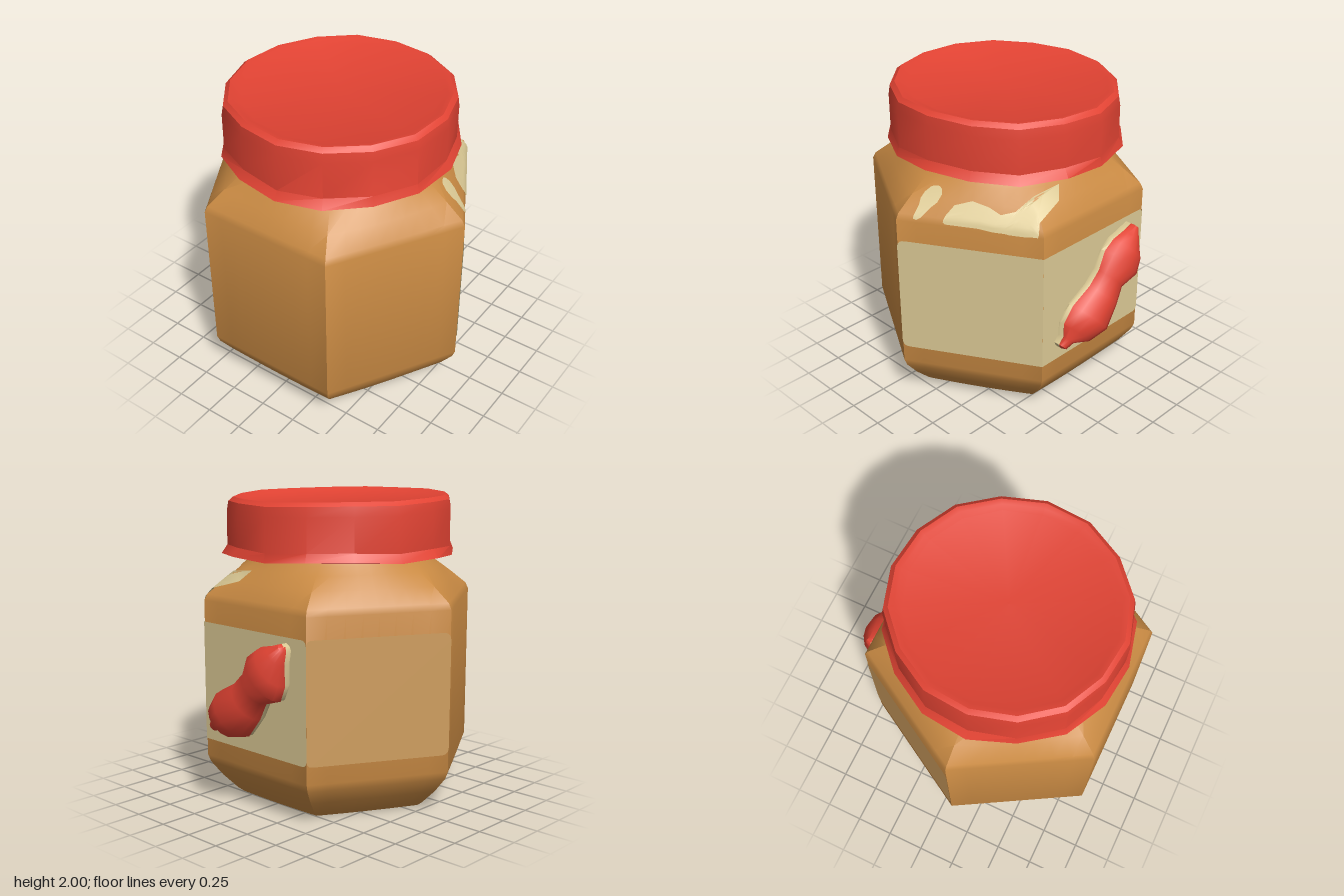
import * as THREE from 'three';
import { toCreasedNormals } from 'three/addons/utils/BufferGeometryUtils.js';

const CX = -0.1; // jar axis
const mat = (name, color, side = THREE.FrontSide) => {
  const m = new THREE.MeshStandardMaterial({ color, side });
  m.name = name;
  return m;
};

// Skin a grid of points (rows of equal length, anticlockwise around the axis)
function skin(rows, crease = 0.6) {
  const n = rows[0].length, index = [];
  for (let i = 0; i < rows.length - 1; i++)
    for (let j = 0; j < n - 1; j++) {
      const a = i * n + j, c = a + n;
      index.push(a, a + 1, c + 1, a, c + 1, c);
    }
  const g = new THREE.BufferGeometry();
  g.setAttribute('position', new THREE.Float32BufferAttribute(rows.flat(2), 3));
  g.setIndex(index);
  return toCreasedNormals(g, crease);
}

// Jar profile: height, flat-to-centre distance, roundness (0 hexagon, 1 circle)
const PROFILE = [
  [0, 0.6, 0.1], [0.03, 0.635, 0.1], [0.13, 0.72, 0.06], [0.23, 0.785, 0.02], [0.28, 0.8, 0],
  [1.32, 0.8, 0], [1.36, 0.785, 0.03], [1.45, 0.71, 0.3], [1.53, 0.645, 0.7],
  [1.58, 0.59, 1], [1.62, 0.56, 1], [1.7, 0.56, 1],
];

function jarRadius(theta, y) {
  let k = 0;
  while (k < PROFILE.length - 2 && PROFILE[k + 1][0] < y) k++;
  const [y0, a0, r0] = PROFILE[k], [y1, a1, r1] = PROFILE[k + 1];
  const t = (y - y0) / (y1 - y0);
  const apothem = a0 + (a1 - a0) * t, round = r0 + (r1 - r0) * t;
  const s = Math.PI / 3, local = ((theta % s) + s) % s - s / 2;
  return apothem * (round + (1 - round) / Math.cos(local));
}

function jarGeometry() {
  const N = 48, rows = [Array.from({ length: N + 1 }, () => [CX, 0, 0])];
  for (const [y] of PROFILE) {
    const row = [];
    for (let j = 0; j <= N; j++) {
      const t = (j / N) * Math.PI * 2, r = jarRadius(t, y);
      row.push([CX + r * Math.sin(t), y, r * Math.cos(t)]);
    }
    rows.push(row);
  }
  return skin(rows, 0.45);
}

// Depth of the jar surface in front of (x, y)
function jarFrontZ(x, y) {
  let lo = 0, hi = 1.2;
  for (let i = 0; i < 30; i++) {
    const z = (lo + hi) / 2;
    if (Math.hypot(x - CX, z) < jarRadius(Math.atan2(x - CX, z), y)) lo = z; else hi = z;
  }
  return lo;
}

// Thin painted patch on the shoulder from columns of [x, bottom, top]
function shoulderPatch(cols) {
  const rows = [];
  for (let i = 0; i <= 8; i++)
    rows.push(cols.map(([x, b, t]) => {
      const y = b + (t - b) * i / 8;
      return [x + 0.004, y + 0.005, jarFrontZ(x, y) + 0.008];
    }));
  return skin(rows);
}

// Label plate for one hexagon side; rounded left and/or right corners
function labelGeometry(left, right) {
  const w = 0.464, b = 0.395, t = 1.18, s = new THREE.Shape();
  const l = left || 0.001, r = right || 0.001;
  s.moveTo(-w + l, b);
  s.lineTo(w - r, b); s.quadraticCurveTo(w, b, w, b + r);
  s.lineTo(w, t - r); s.quadraticCurveTo(w, t, w - r, t);
  s.lineTo(-w + l, t); s.quadraticCurveTo(-w, t, -w, t - l);
  s.lineTo(-w, b + l); s.quadraticCurveTo(-w, b, -w + l, b);
  return new THREE.ShapeGeometry(s, 5).translate(0, 0, 0.804);
}

// Crimped lid with uneven flutes and a wavy flared skirt
function lidGeometry() {
  const N = 16, rows = [];
  const wob = (j, k) => Math.sin((j % N) * 2.4 + k) * 0.6 + Math.sin((j % N) * 5.1 + k * 2) * 0.4;
  const prof = [ // height, radius, radial wobble, height wobble
    [1.63, 0.54, 0, 0], [1.61, 0.72, 0.01, 0.01], [1.615, 0.765, 0.018, 0.015], [1.67, 0.735, 0.012, 0.012],
    [1.9, 0.735, 0.01, 0.005], [1.96, 0.725, 0.008, 0.006], [1.985, 0.695, 0.008, 0.004],
    [1.98, 0.66, 0.006, 0.002], [1.965, 0.62, 0, 0], [1.965, 0, 0, 0],
  ];
  prof.forEach(([y, r, rw, yw], k) => {
    const row = [];
    for (let j = 0; j <= N; j++) {
      const t = (j / N) * Math.PI * 2 + 0.1, q = r + rw * wob(j, k > 3 ? 3 : k);
      const x = q * 1.02 * Math.sin(t);
      row.push([CX + 0.01 + x, y + yw * wob(j, 1) - (y > 1.8 ? 0.016 * x : 0), q * 0.985 * Math.cos(t)]);
    }
    rows.push(row);
  });
  return skin(rows, 0.5);
}

// Nut emblem sections: z, y, half width, height
const NUT = [
  [0.34, 0.5, 0, 0], [0.335, 0.51, 0.035, 0.03], [0.29, 0.545, 0.045, 0.05], [0.23, 0.575, 0.135, 0.11],
  [0.12, 0.64, 0.18, 0.15], [-0.01, 0.745, 0.145, 0.12], [-0.08, 0.84, 0.125, 0.105],
  [-0.17, 0.92, 0.18, 0.135], [-0.23, 0.995, 0.15, 0.12], [-0.275, 1.07, 0.075, 0.08],
  [-0.32, 1.125, 0.03, 0.04], [-0.325, 1.13, 0, 0],
];

function nutGeometry(scale, xAt) {
  const N = 14;
  return skin(NUT.map(([z, y, w, h]) => Array.from({ length: N + 1 }, (_, j) => {
    const p = (j / N) * Math.PI * 2, c = w * scale * Math.cos(p);
    return [xAt(Math.sin(p), h), y + 0.728 * c, z + 0.685 * c];
  })), 0.9);
}

export function createModel() {
  const brown = mat('jar brown', 0xc98a43);
  const cream = mat('label cream', 0xdcca95, THREE.DoubleSide);
  const tan = mat('back label tan', 0xcf9e5f, THREE.DoubleSide);
  const red = mat('lid red', 0xe24333);
  const group = new THREE.Group();
  group.name = 'jar';
  const add = (name, geometry, material) => {
    const m = new THREE.Mesh(geometry, material);
    m.name = name;
    group.add(m);
    return m;
  };

  add('jarBody', jarGeometry(), brown);
  add('lid', lidGeometry(), red);

  // Labels wrap three neighbouring sides
  [['frontLabel', 30, 0.05, 0, cream], ['sideLabel', 90, 0, 0.04, cream], ['backLabel', 150, 0.04, 0.05, tan]]
    .forEach(([name, deg, l, r, m]) => {
      const label = add(name, labelGeometry(l, r), m);
      label.rotation.y = THREE.MathUtils.degToRad(deg);
      label.position.x = CX;
    });

  // Painted highlights on the shoulder
  add('shoulderHighlight', shoulderPatch([
    [0.155, 1.34, 1.38], [0.17, 1.33, 1.43], [0.25, 1.33, 1.46], [0.35, 1.33, 1.44], [0.43, 1.32, 1.41],
    [0.49, 1.32, 1.43], [0.52, 1.315, 1.5], [0.54, 1.315, 1.52], [0.6, 1.315, 1.45], [0.64, 1.32, 1.39], [0.67, 1.32, 1.34],
  ]), cream);
  add('shoulderDrip', shoulderPatch([
    [-0.035, 1.44, 1.47], [-0.02, 1.41, 1.495], [-0.01, 1.34, 1.5], [0.01, 1.335, 1.505],
    [0.03, 1.35, 1.505], [0.05, 1.4, 1.495], [0.07, 1.43, 1.47],
  ]), cream);

  // Raised nut emblem on a cream backing
  add('nutBacking', nutGeometry(0.98, (s) => 0.72 + 0.035 * THREE.MathUtils.clamp(s * 3, -1, 1)), cream);
  add('nutEmblem', nutGeometry(1, (s, h) => 0.75 + (s > 0 ? h : 0.015) * s), red);
  return group;
}
